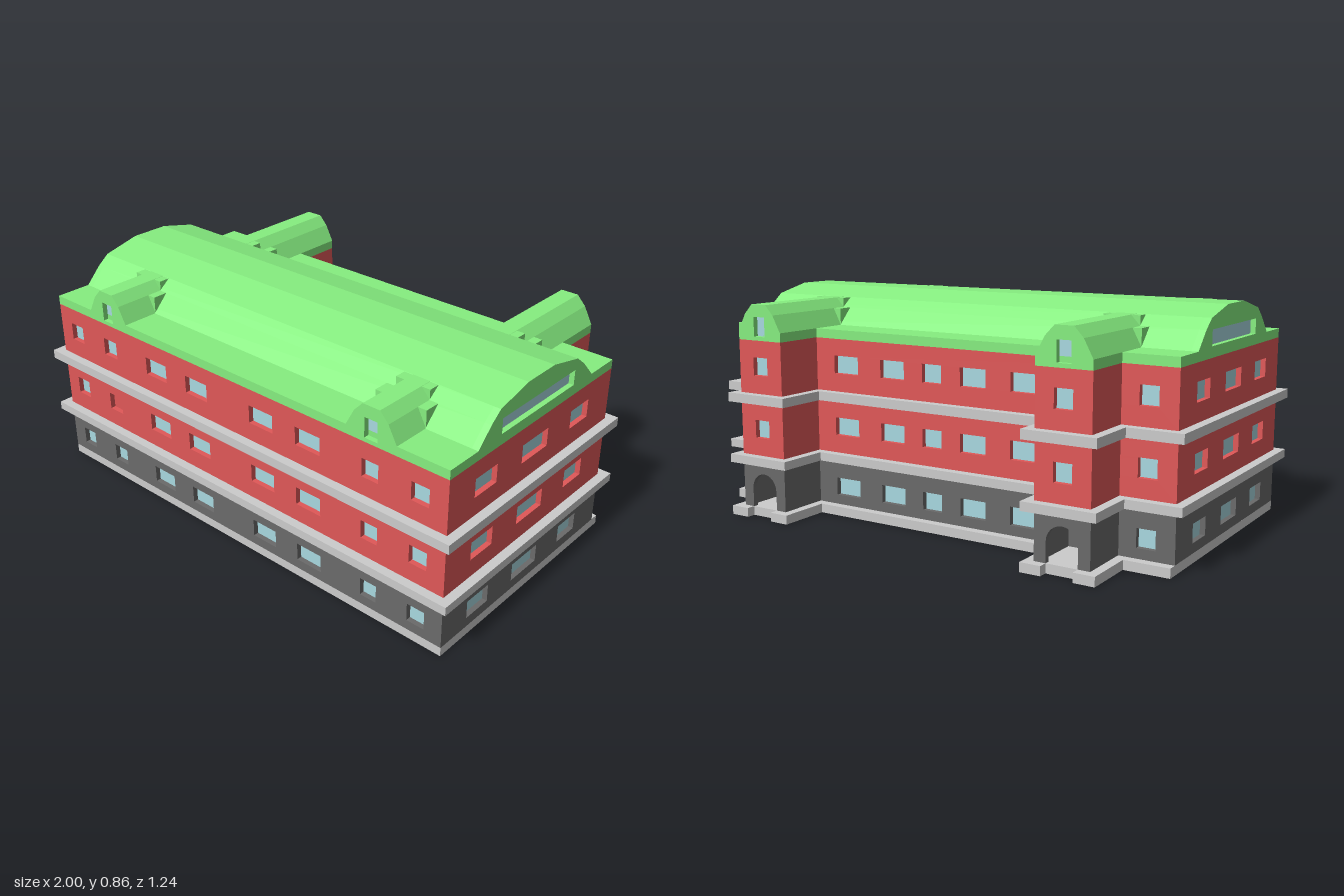
import * as THREE from 'three';

const mat = (color) => new THREE.MeshStandardMaterial({ color, flatShading: true });
const STONE = mat(0xcccccc), DARK = mat(0x6a6a6a), RED = mat(0xe05858);
const GREEN = mat(0x86ee80), GLASS = mat(0xa8d8e0);

const T = 0.02;                       // wall thickness = window recess
const X = 0.965, ZF = 0.585, ZB = 0.38;   // main block: half width, front, back
const W0 = 0.55, W1 = 0.76, WC = 0.655;   // rear wing: inner, outer, centre
const PI = Math.PI;

export function createModel() {
  const root = new THREE.Group();

  const add = (geo, material, name) => {
    const m = new THREE.Mesh(geo, material);
    m.name = name;
    root.add(m);
    return m;
  };

  // Puts a piece on a vertical face: local x runs along it, local z points out
  const onFace = (mesh, angle, dist) => {
    mesh.rotation.y = angle;
    mesh.position.set(Math.sin(angle) * dist, 0, Math.cos(angle) * dist);
    return mesh;
  };

  const extrude = (shape, depth, z0) => new THREE.ExtrudeGeometry(shape, { depth, bevelEnabled: false, curveSegments: 6 }).translate(0, 0, z0);
  const polygon = (pts) => new THREE.Shape(pts.map(([x, y]) => new THREE.Vector2(x, y)));
  const rect = (a, b, y0, y1) => polygon([[a, y0], [b, y0], [b, y1], [a, y1]]);

  // Panel with recessed windows [centre, width, y0, y1, blind]
  const panel = (shape, angle, dist, material, name, windows = []) => {
    for (const [c, w, y0, y1] of windows) {
      shape.holes.push(rect(c - w / 2, c + w / 2, y0, y1));
    }
    onFace(add(extrude(shape, T, -T), material, name), angle, dist);
    for (const [c, w, y0, y1, blind] of windows) {
      const pane = new THREE.BoxGeometry(w + 0.01, y1 - y0 + 0.01, 0.006);
      pane.translate(c, (y0 + y1) / 2, -T - 0.003);
      onFace(add(pane, blind ? RED : GLASS, blind ? 'blindWindow' : 'windowPane'), angle, dist);
    }
  };

  // Floor outline with both rear wings; the notch opens the wing's doorway
  const outline = (side, front, back, notch) => {
    const half = [[X + side, -ZF - front], [X + side, ZB + back], [W1 + back, ZB + back], [W1 + back, ZF + back]];
    if (notch) half.push([WC + 0.06, ZF + back], [WC + 0.06, ZF], [WC - 0.06, ZF], [WC - 0.06, ZF + back]);
    half.push([W0 - back, ZF + back], [W0 - back, ZB + back]);
    return polygon([...half, ...half.map(([x, y]) => [-x, y]).reverse()]);
  };
  const slab = (shape, y0, y1, material, name) => {
    add(extrude(shape, y1 - y0, 0).rotateX(-PI / 2).translate(0, y0, 0), material, name);
  };

  // Base, ledges and roof deck
  slab(outline(0, 0, 0.035, true), 0, 0.035, STONE, 'base');
  slab(outline(0.035, 0.035, 0.035), 0.21, 0.243, STONE, 'lowerLedge');
  slab(outline(0.035, 0.035, 0.035), 0.45, 0.485, STONE, 'upperLedge');
  slab(outline(-T, -T, -T), 0.69, 0.725, GREEN, 'roofDeck');

  // Three floors of walls
  const frontWin = [[-0.865, 0.07], [-0.66, 0.074], [-0.39, 0.113], [-0.17, 0.113],
    [0.16, 0.113], [0.38, 0.113], [0.653, 0.07], [0.857, 0.072]];
  const sideWin = [[0.385, 0.12], [0.103, 0.153], [-0.177, 0.115]];
  const backWin = [[0.86, 0.07], [0.405, 0.115], [0.185, 0.11], [0.005, 0.085],
    [-0.175, 0.11], [-0.39, 0.115], [-0.86, 0.07]];
  const floors = [
    { y0: 0.035, y1: 0.21, w0: 0.072, w1: 0.141, material: DARK },
    { y0: 0.243, y1: 0.45, w0: 0.312, w1: 0.382, material: RED },
    { y0: 0.485, y1: 0.69, w0: 0.555, w1: 0.625, material: RED },
  ];
  floors.forEach(({ y0, y1, w0, w1, material }, level) => {
    const row = (list, sign) => list.map(([c, w]) => [sign * c, w, w0, w1]);
    const front = row(frontWin, 1);
    if (level === 1) front[1].push(true);
    panel(rect(-X, X, y0, y1), 0, ZF, material, 'frontWall', front);
    panel(rect(-X, X, y0, y1), PI, ZB, material, 'backWall', row(backWin, -1));
    panel(rect(-ZF + T, ZB - T, y0, y1), PI / 2, X, material, 'sideWall', row(sideWin, -1));
    panel(rect(-ZB + T, ZF - T, y0, y1), -PI / 2, X, material, 'sideWall', row(sideWin, 1));

    // Rear wings: side walls and end wall with arch or window
    for (const s of [-1, 1]) {
      panel(rect(ZB, ZF - T, y0, y1), PI / 2, s > 0 ? W1 : -W0, material, 'wingSideWall');
      panel(rect(-ZF + T, -ZB, y0, y1), -PI / 2, s > 0 ? -W0 : W1, material, 'wingSideWall');
      const c = s * WC;
      if (level > 0) {
        panel(rect(c - 0.105, c + 0.105, y0, y1), PI, ZF, material, 'wingEndWall', [[c, 0.07, w0, w1]]);
      } else {
        const arch = new THREE.Shape();
        arch.moveTo(c - 0.105, y0).lineTo(c - 0.06, y0).lineTo(c - 0.06, 0.11);
        arch.absarc(c, 0.11, 0.06, PI, 0, true);
        arch.lineTo(c + 0.06, y0).lineTo(c + 0.105, y0).lineTo(c + 0.105, y1).lineTo(c - 0.105, y1);
        panel(arch, PI, ZF, material, 'archedDoorway');
      }
    }
  });

  // Fascia strips around the roof deck
  const fascia = (a, b, angle, dist) => panel(rect(a, b, 0.69, 0.725), angle, dist, GREEN, 'fascia');
  for (const [a, b] of [[-X, -W1], [-W0, W0], [W1, X]]) {
    fascia(a, b, 0, ZF);
    fascia(a, b, PI, ZB);
  }
  fascia(-ZF + T, ZB - T, PI / 2, X);
  fascia(-ZB + T, ZF - T, -PI / 2, X);
  for (const s of [-1, 1]) {
    fascia(ZB - T, ZF - T, PI / 2, s > 0 ? W1 : -W0);
    fascia(-ZF + T, -ZB + T, -PI / 2, s > 0 ? -W0 : W1);
  }

  // Faceted vault over the main block, with a long window in each end
  const arched = (c, half) => polygon([
    ...half.map(([x, y]) => [c + x, y]),
    ...half.map(([x, y]) => [c - x, y]).reverse(),
  ]);
  const vault = [[0.338, 0.725], [0.275, 0.79], [0.228, 0.827], [0.078, 0.862]];
  const VC = 0.103;
  onFace(add(extrude(arched(-VC, vault), 2 * (X - T) - 0.012, -2 * X + T + 0.006), GREEN, 'vaultRoof'), PI / 2, X);
  for (const s of [-1, 1]) {
    panel(arched(-s * VC, vault), s * PI / 2, X, GREEN, 'vaultEnd', [[-s * 0.1, 0.43, 0.73, 0.787]]);
    // Closes the gap around the end pane
    const rim = arched(-s * VC, vault);
    rim.holes.push(rect(-s * 0.1 - 0.215, -s * 0.1 + 0.215, 0.73, 0.787));
    onFace(add(extrude(rim, 0.006, -T - 0.006), GREEN, 'vaultEndRim'), s * PI / 2, X);
  }

  // Front dormers and rear wing roofs share one profile
  const dormer = [[0.105, 0.69], [0.105, 0.725], [0.07, 0.79], [0.035, 0.827]];
  for (const s of [-1, 1]) {
    for (const [angle, length, vaultFoot] of [[0, 0.4, 0.44], [PI, 0.55, -0.235]]) {
      const c = s * WC, dir = angle ? -1 : 1;
      panel(arched(c, dormer), angle, ZF, GREEN, 'dormerGable', [[c, 0.054, 0.705, 0.78]]);
      onFace(add(extrude(arched(c, dormer), length, -T - 0.006 - length), GREEN, 'dormerRoof'), angle, ZF);
      const rim = arched(c, dormer);
      rim.holes.push(rect(c - 0.027, c + 0.027, 0.705, 0.78));
      onFace(add(extrude(rim, 0.006, -T - 0.006), GREEN, 'dormerRim'), angle, ZF);
      // Stepped cheeks where the dormer meets the vault
      add(new THREE.BoxGeometry(0.21, 0.065, 0.08), GREEN, 'lowerCheek')
        .position.set(c, 0.7575, vaultFoot - dir * 0.042);
      add(new THREE.BoxGeometry(0.14, 0.036, 0.08), GREEN, 'upperCheek')
        .position.set(c, 0.808, vaultFoot - dir * 0.104);
    }
  }
  return root;
}
